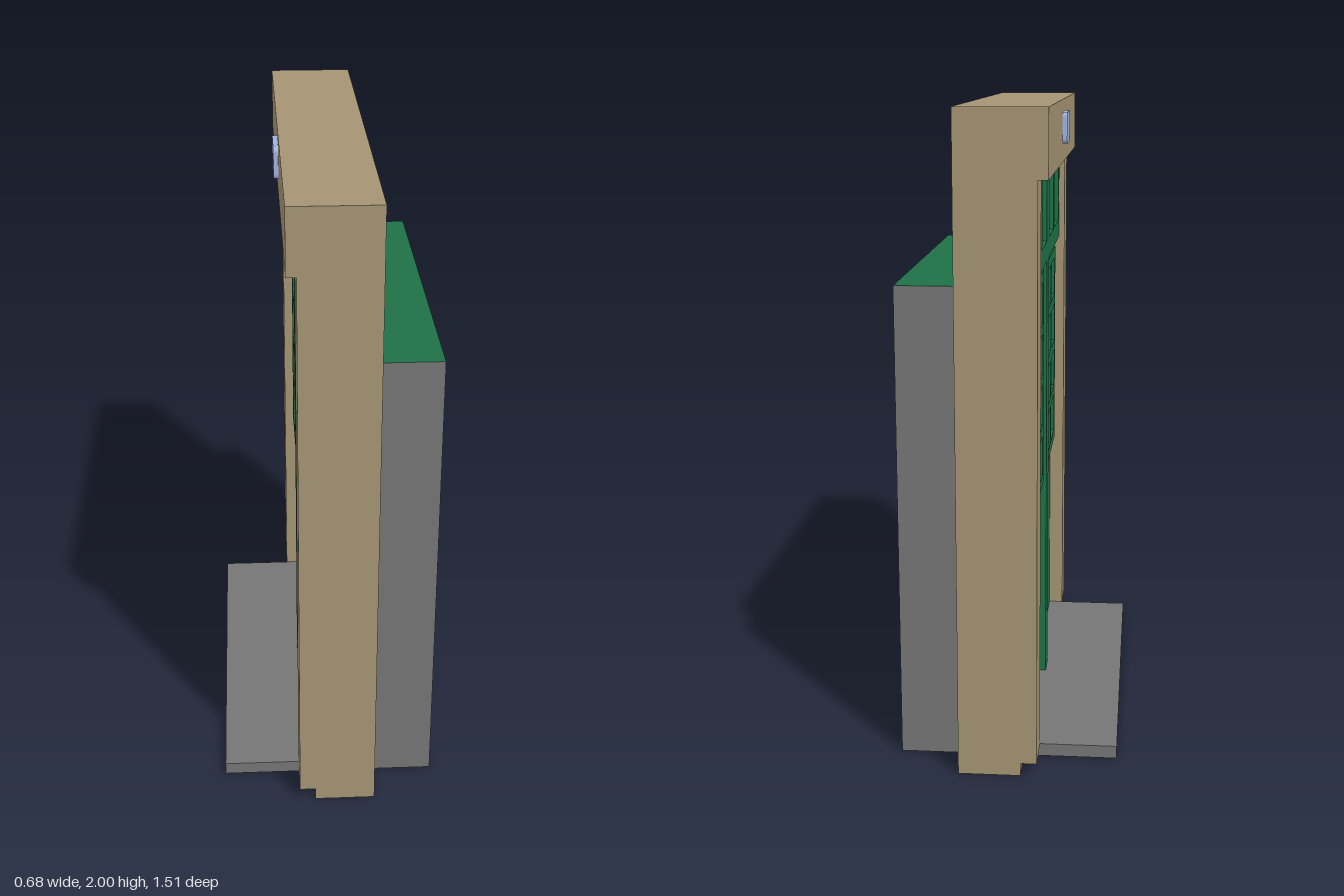
import * as THREE from 'three';

const mat = (color) => new THREE.MeshStandardMaterial({ color, flatShading: true });

export function createModel() {
  const root = new THREE.Group();
  root.name = 'doorway';
  const stone = mat(0xa59473), green = mat(0x1f7147), grey = mat(0x757575);
  const glass = mat(0x0e0e0e), blue = mat(0x9fb3e0);

  const add = (name, geometry, material, parent = root) => {
    const mesh = new THREE.Mesh(geometry, material);
    mesh.name = name;
    parent.add(mesh);
    return mesh;
  };
  // box given by its limits on each axis
  const block = (name, x0, x1, y0, y1, z0, z1, material, parent) => {
    const g = new THREE.BoxGeometry(x1 - x0, y1 - y0, z1 - z0);
    g.translate((x0 + x1) / 2, (y0 + y1) / 2, (z0 + z1) / 2);
    return add(name, g, material, parent);
  };
  const rect = (Kind, z0, z1, y0, y1) => new Kind().moveTo(z0, y0)
    .lineTo(z1, y0).lineTo(z1, y1).lineTo(z0, y1).closePath();
  // panel drawn in z/y with openings, running from x = back to x = front (-x side)
  const panel = (name, shape, holes, back, front, material, parent) => {
    for (const h of holes) shape.holes.push(rect(THREE.Path, ...h));
    const g = new THREE.ExtrudeGeometry(shape, { depth: back - front, bevelEnabled: false, curveSegments: 3 });
    g.rotateY(-Math.PI / 2).translate(back, 0, 0);
    return add(name, g, material, parent);
  };

  const half = 0.617, outer = 0.755, base = 0.04, railY = 1.48, headY = 1.8;

  // stone surround: jambs notched over the step, lintel above
  const profile = new THREE.Shape().moveTo(-0.05, 0).lineTo(0.14, 0).lineTo(0.14, headY)
    .lineTo(-0.1, headY).lineTo(-0.1, base).lineTo(-0.05, base).closePath();
  for (const z of [-outer, half]) {
    const g = new THREE.ExtrudeGeometry(profile, { depth: outer - half, bevelEnabled: false });
    add('jamb', g.translate(0, 0, z), stone);
  }
  block('lintel', -0.13, 0.14, headY, 2, -outer, outer, stone);
  block('step', -0.34, -0.05, 0, base, -half, half, grey);

  // rear body with grey cheeks, and the backing of the upper lights
  block('rearBody', -0.04, 0.335, 0, railY, -half, half, [green, green, green, green, grey, grey]);
  block('transomBacking', -0.04, 0.14, railY, headY, -half, half, green);

  // row of four upper lights
  const lights = [-0.455, -0.17, 0.17, 0.455].map((z) => [z - 0.112, z + 0.112, 1.545, 1.77]);
  panel('transomFrame', rect(THREE.Shape, -half, half, railY, headY), lights, -0.04, -0.08, green);
  for (const [z0, z1, y0, y1] of lights) block('transomGlass', -0.045, -0.05, y0, y1, z0, z1, glass);

  // two door leaves
  for (const side of [-1, 1]) {
    const leaf = new THREE.Group();
    leaf.name = side > 0 ? 'doorLeafA' : 'doorLeafB';
    root.add(leaf);
    const c = side * 0.307;
    const low = [c - 0.18, c + 0.18, 0.17, 0.69];
    const edges = [0, side * half].sort((a, b) => a - b);
    panel('leafSlab', rect(THREE.Shape, ...edges, 0, railY), [low], -0.04, -0.05, green, leaf);

    // vertical boards in the lower panel
    for (let i = 0; i < 4; i++) {
      const z = c + (i - 1.5) * 0.09;
      block('board', -0.049, -0.035, 0.185, 0.675, z - 0.035, z + 0.035, green, leaf);
    }

    // glazing grid, two by four
    const w = 0.225, y0 = 0.735, y1 = 1.455, bar = 0.036;
    const pw = (2 * w - 3 * bar) / 2, ph = (y1 - y0 - 5 * bar) / 4;
    const panes = [];
    for (let i = 0; i < 2; i++) for (let j = 0; j < 4; j++) {
      const z = c - w + bar + i * (pw + bar), y = y0 + bar + j * (ph + bar);
      panes.push([z, z + pw, y, y + ph]);
    }
    panel('windowFrame', rect(THREE.Shape, c - w, c + w, y0, y1), panes, -0.05, -0.072, green, leaf);
    block('windowGlass', -0.052, -0.045, y0 + 0.01, y1 - 0.01, c - w + 0.01, c + w - 0.01, glass, leaf);
  }
  block('centrePost', -0.08, -0.045, base, railY, -0.05, 0.05, green);

  // small plaque with rounded corners on the lintel
  const r = 0.015, a = 0.078, b = 0.05;
  const plate = new THREE.Shape();
  [[a, -b, 0], [a, b, 1], [-a, b, 2], [-a, -b, 3]].forEach(([z, y, k]) => {
    const t = -Math.PI / 2 + k * Math.PI / 2;
    plate.absarc(z - Math.sign(z) * r, y - Math.sign(y) * r, r, t, t + Math.PI / 2, false);
  });
  const plaque = panel('plaque', plate, [], -0.125, -0.145, blue);
  plaque.position.y = 1.91;

  return root;
}
